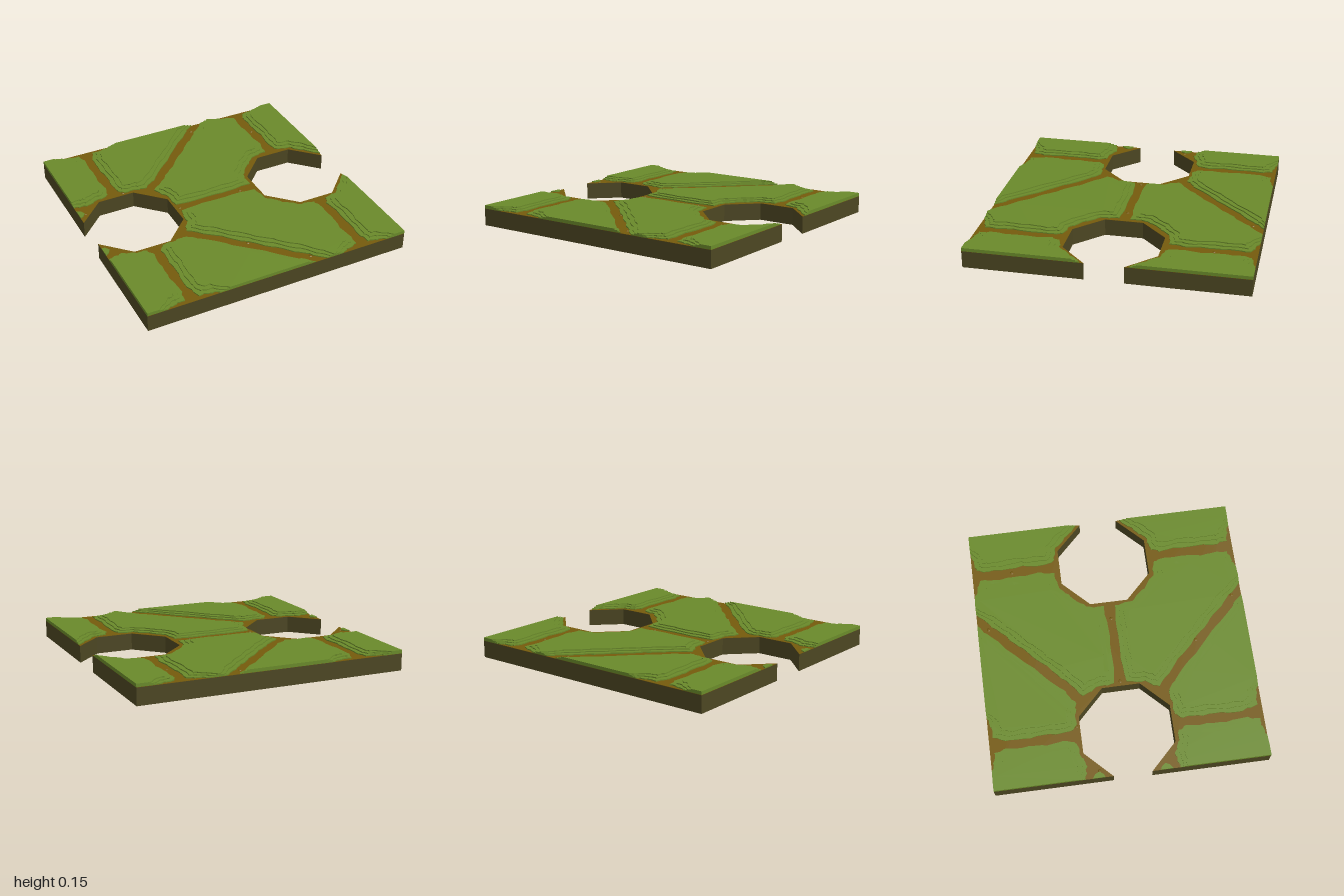
import * as THREE from 'three';

const SLAB_TOP = 0.124, PATH_TOP = 0.126;
const TERRACES = [[0, 0.134], [0.032, 0.142], [0.065, 0.15]]; // [inset, height]

// Extrudes an outline given in (x, z) between two heights
function plate(points, bottom, top, material, name) {
  const shape = new THREE.Shape(points.map(([x, z]) => new THREE.Vector2(x, z)));
  const geo = new THREE.ExtrudeGeometry(shape, { depth: top - bottom, bevelEnabled: false });
  geo.rotateX(Math.PI / 2).translate(0, top, 0);
  const mesh = new THREE.Mesh(geo, material);
  mesh.name = name;
  return mesh;
}

// Moves a line sideways by d; its two ends slide along the tile border
function inset(line, d, side) {
  const normal = (a, b) => {
    const dx = b[0] - a[0], dz = b[1] - a[1], l = Math.hypot(dx, dz);
    return [-side * dz / l, side * dx / l];
  };
  return line.map((p, i) => {
    const before = i > 0 && normal(line[i - 1], p);
    const after = i < line.length - 1 && normal(p, line[i + 1]);
    if (before && after) {
      const k = d / Math.max(0.6, 1 + before[0] * after[0] + before[1] * after[1]);
      return p.map((v, c) => v + (before[c] + after[c]) * k);
    }
    const n = before || after, along = Math.abs(p[1]) === 1 ? 0 : 1;
    return p.map((v, c) => (c === along ? v + Math.sign(n[c]) * d * 0.8 : v));
  });
}

// Adds wavy in-between points to a line, keeping its ends on the tile border
function ragged(line, seed) {
  const out = [], n = 5, last = (line.length - 1) * n;
  for (let k = 0; k <= last; k++) {
    const i = Math.min(Math.floor(k / n), line.length - 2), t = k / n - i;
    const w = k === 0 || k === last ? 0 : 0.005;
    out.push([0, 1].map((c) => {
      const v = THREE.MathUtils.lerp(line[i][c], line[i + 1][c], t)
        + w * (Math.sin(k * 1.3 + seed * 2.1 + c * 1.7) + 0.5 * Math.sin(k * 2.9 + seed + c));
      return THREE.MathUtils.clamp(v, -1, 1);
    }));
  }
  return out;
}

// Grass edges of the back half; the front half mirrors them
const CORNER = [[-.86, -1], [-.8, -.98], [-.72, -.965], [-.7, -.88], [-.71, -.62], [-.7, -.43], [-.73, -.37], [-.82, -.355]];
const RIGHT_END = [[-.89, -.32], [-.94, -.33], [-1, -.34]];
const LEFT_END = [[-.9, -.27], [-1, -.17]];
const WEDGE = [[.27, -1], [.18, -.92], [-.12, -.62], [-.33, -.41], [-.43, -.34], [-.5, -.355], [-.6, -.36], [-.635, -.41], [-.635, -.6], [-.645, -.85], [-.61, -.965], [-.52, -.975], [-.45, -1]];
const MIDDLE = [[.48, -1], [.55, -.975], [.63, -.95], [.625, -.75], [.64, -.5], [.62, -.38], [.51, -.365], [.41, -.28], [.315, -.17], [.3, -.04], [0, -.03], [-.31, -.04], [-.325, -.18], [-.38, -.28], [-.22, -.42], [-.05, -.59], [.1, -.74], [.25, -.89], [.36, -1]];

export function createModel() {
  const group = new THREE.Group();
  const mat = (name, color) => {
    const m = new THREE.MeshStandardMaterial({ color });
    m.name = name;
    return m;
  };
  const soil = mat('dark soil', 0x4c4622);
  const dirt = mat('path brown', 0x755a0c);
  const grass = mat('grass green', 0x6a8a2a);

  // Square tile with an octagonal notch open at each side
  const half = [[1, .14], [.805, .335], [.53, .335], [.335, .14]];
  const notch = [...half, ...half.map(([x, z]) => [x, -z]).reverse()];
  const outline = [[1, 1], ...notch, [1, -1], [-1, -1], ...notch.map(([x, z]) => [-x, -z]), [-1, 1]];
  group.add(plate(outline, 0, SLAB_TOP, soil, 'soilSlab'));
  group.add(plate(outline, SLAB_TOP, PATH_TOP, dirt, 'dirtPath'));

  // Stepped grass patch, mirrored by the signs sx and sz
  function grassPatch(name, edge, sx, sz, hasCorner) {
    const patch = new THREE.Group();
    patch.name = name;
    const line = edge.map(([x, z]) => [x * sx, z * sz]);
    let bottom = PATH_TOP - 0.001;
    TERRACES.forEach(([d, top], level) => {
      const points = ragged(inset(line, d, sx * sz), edge.length + sz * 2 + level * 0.6);
      if (hasCorner) points.push([-sx, -sz]);
      patch.add(plate(points, bottom, top, grass, 'terrace' + (level + 1)));
      bottom = top;
    });
    group.add(patch);
  }
  for (const sz of [1, -1]) {
    const end = sz > 0 ? 'back' : 'front';
    grassPatch(end + 'RightGrass', [...CORNER, ...RIGHT_END], 1, sz, true);
    grassPatch(end + 'LeftGrass', [...CORNER, ...LEFT_END], -1, sz, true);
    grassPatch(end + 'WedgeGrass', WEDGE, 1, sz, false);
    grassPatch(end + 'MiddleGrass', MIDDLE, 1, sz, false);

    // Small tuft beside the right notch
    const tuft = [[-1, -.29], [-.97, -.27], [-.955, -.24], [-.975, -.21], [-1, -.2]];
    group.add(plate(tuft.map(([x, z]) => [x, z * sz]), PATH_TOP - 0.001, 0.134, grass, end + 'Tuft'));
  }

  // Low clods scattered on the paths
  const clods = [[.23, -.92], [-.95, -.235], [-.05, .6], [.27, .925], [-.3, 0], [-.6, -.36], [.67, -.7], [.2, 0]];
  clods.forEach(([x, z], i) => {
    const clod = new THREE.Mesh(new THREE.CylinderGeometry(0.008, 0.014, 0.005, 6), dirt);
    clod.position.set(x, PATH_TOP + 0.002, z);
    clod.rotation.y = i;
    clod.name = 'clod';
    group.add(clod);
  });
  return group;
}
